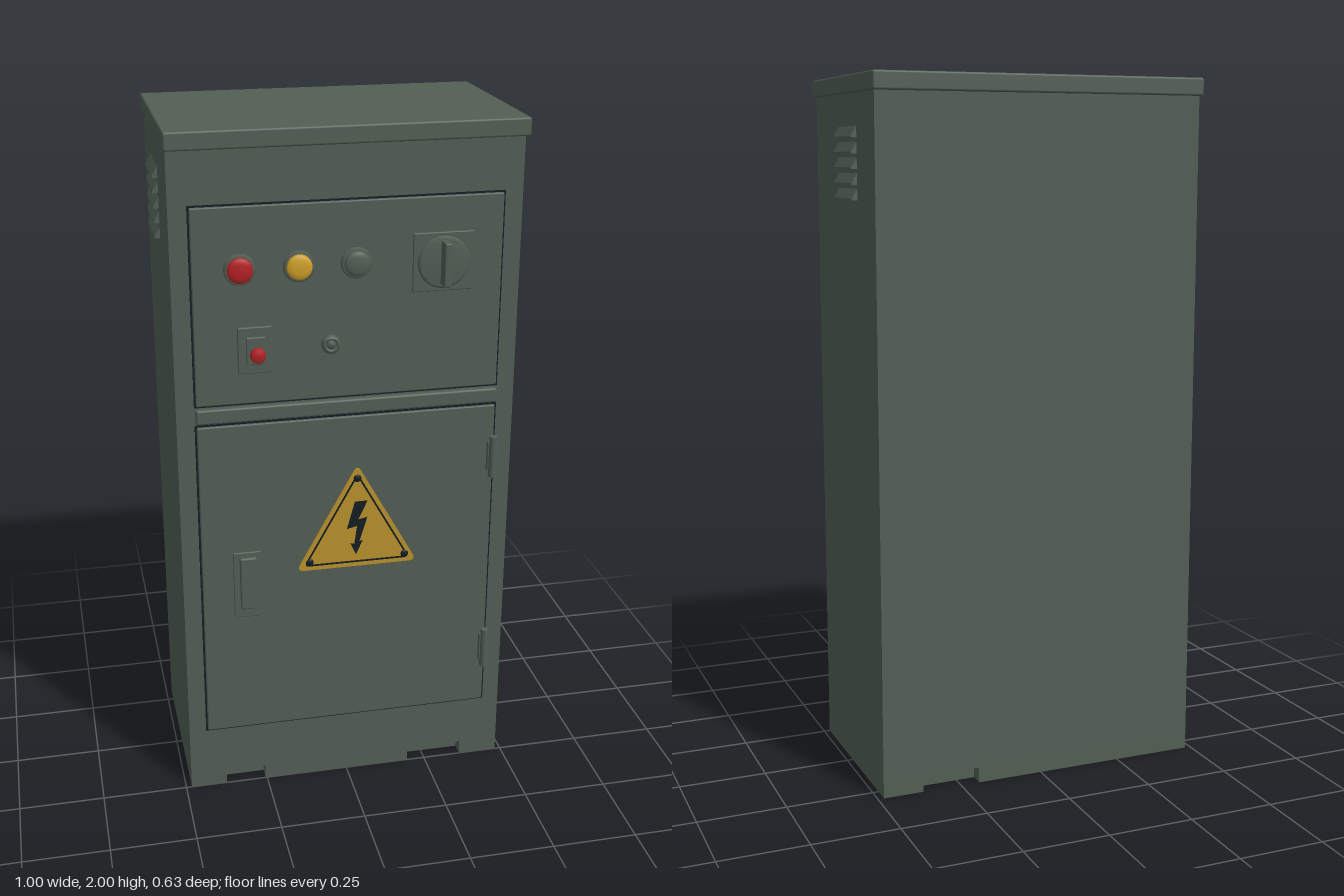
import * as THREE from 'three';
import { RoundedBoxGeometry } from 'three/addons/geometries/RoundedBoxGeometry.js';

function mat(name, color) {
  const m = new THREE.MeshStandardMaterial({ color });
  m.name = name;
  return m;
}

// Polygon from [x, y] pairs
const poly = (pts) => new THREE.Shape(pts.map(([x, y]) => new THREE.Vector2(x, y)));

// Triangle with rounded corners
function roundedTriangle(pts, t) {
  const s = new THREE.Shape();
  const v = pts.map(([x, y]) => new THREE.Vector2(x, y));
  v.forEach((p, i) => {
    const a = p.clone().lerp(v[(i + 2) % 3], t);
    const b = p.clone().lerp(v[(i + 1) % 3], t);
    if (i === 0) s.moveTo(a.x, a.y); else s.lineTo(a.x, a.y);
    s.quadraticCurveTo(p.x, p.y, b.x, b.y);
  });
  s.closePath();
  return s;
}

export function createModel() {
  const root = new THREE.Group();
  root.name = 'electricalCabinet';
  const green = mat('cabinetGreen', 0x525e54);
  const red = mat('signalRed', 0xb32024);
  const amber = mat('lampAmber', 0xd0a028);
  const yellow = mat('signYellow', 0xb8922c);
  const dark = mat('signBlack', 0x141c24);

  const add = (name, geo, m, x = 0, y = 0, z = 0, parent = root) => {
    const mesh = new THREE.Mesh(geo, m);
    mesh.name = name;
    mesh.position.set(x, y, z);
    parent.add(mesh);
    return mesh;
  };
  // Box given by its extents
  const box = (name, x0, x1, y0, y1, z0, z1, m = green, r = 0) => {
    const d = [x1 - x0, y1 - y0, z1 - z0];
    const g = r ? new RoundedBoxGeometry(...d, 2, r) : new THREE.BoxGeometry(...d);
    return add(name, g, m, (x0 + x1) / 2, (y0 + y1) / 2, (z0 + z1) / 2);
  };
  // Turned part facing the front; profile is [radius, z] from the back to the axis
  const turned = (name, profile, m, x, y, z) => {
    const g = new THREE.LatheGeometry(profile.map(([r, h]) => new THREE.Vector2(r, h)), 32);
    return add(name, g.rotateX(Math.PI / 2), m, x, y, z);
  };
  // Flat plate cut from a shape
  const plate = (name, shape, depth, m, z) =>
    add(name, new THREE.ExtrudeGeometry(shape, { depth, bevelEnabled: false, curveSegments: 8 }), m, 0, 0, z);

  // Body and overhanging lid
  box('body', -0.483, 0.483, 0.045, 1.955, -0.3, 0.25);
  box('lid', -0.49, 0.49, 1.95, 2, -0.315, 0.275, green, 0.006);

  // Plinth with notches: two in front, one at the back
  const f = 0.25, b = -0.3, d = 0.04;
  const plan = poly([
    [-0.483, -f], [-0.375, -f], [-0.375, d - f], [-0.255, d - f], [-0.255, -f],
    [0.195, -f], [0.195, d - f], [0.365, d - f], [0.365, -f], [0.483, -f],
    [0.483, -b], [0.365, -b], [0.365, -b - d], [0.195, -b - d], [0.195, -b], [-0.483, -b],
  ]);
  add('plinth', new THREE.ExtrudeGeometry(plan, { depth: 0.045, bevelEnabled: false }).rotateX(-Math.PI / 2), green);

  // Front panel, divider rail and door, each on a dark gap line
  for (const [name, y0, y1] of [['controlPanel', 1.245, 1.798], ['door', 0.202, 1.183]]) {
    box(name + 'Gap', -0.433, 0.433, y0 - 0.005, y1 + 0.005, 0.246, 0.252, dark);
    box(name, -0.428, 0.428, y0, y1, 0.245, 0.26, green, 0.004);
  }
  box('dividerRail', -0.43, 0.43, 1.193, 1.236, 0.245, 0.266, green, 0.006);

  // Side louvres: wedges that flare towards the bottom
  for (const side of [-1, 1]) {
    for (let i = 0; i < 5; i++) {
      const y = 1.83 - i * 0.042;
      const outline = side > 0
        ? [[0.48, y], [0.499, y], [0.499, y + 0.005], [0.483, y + 0.032], [0.48, y + 0.032]]
        : [[-0.48, y], [-0.48, y + 0.032], [-0.483, y + 0.032], [-0.499, y + 0.005], [-0.499, y]];
      plate('louvre', poly(outline), 0.17, green, -0.14);
    }
  }

  // Signal lamps: bezel and shallow dome
  for (const [name, x, m] of [['redLamp', -0.3, red], ['amberLamp', -0.14, amber], ['greyLamp', 0.018, green]]) {
    turned(name + 'Bezel', [[0.043, 0], [0.043, 0.008], [0.038, 0.014], [0, 0.014]], green, x, 1.628, 0.258);
    turned(name, [[0.035, 0], [0.035, 0.017], [0.032, 0.022], [0.02, 0.025], [0, 0.026]], m, x, 1.628, 0.259);
  }

  // Rotary main switch
  box('rotarySwitchPlate', 0.175, 0.345, 1.535, 1.7, 0.255, 0.266, green, 0.003);
  turned('rotaryDial', [[0.073, 0], [0.073, 0.005], [0.065, 0.012], [0, 0.012]], green, 0.26, 1.617, 0.265);
  box('rotaryHandle', 0.25, 0.27, 1.558, 1.68, 0.27, 0.315, green, 0.004);

  // Push button on a framed plate
  box('buttonPlate', -0.31, -0.216, 1.335, 1.467, 0.255, 0.268, green, 0.003);
  box('buttonHousing', -0.288, -0.234, 1.362, 1.44, 0.262, 0.275, green, 0.003);
  turned('redButton', [[0.021, 0], [0.021, 0.014], [0.017, 0.019], [0, 0.02]], red, -0.257, 1.39, 0.271);

  // Panel lock
  turned('lockRing', [[0.026, 0], [0.026, 0.012], [0.021, 0.018], [0.016, 0.018], [0.016, 0.01], [0, 0.01]],
    green, -0.053, 1.403, 0.259);
  turned('lockCore', [[0.012, 0], [0.012, 0.014], [0, 0.015]], green, -0.053, 1.403, 0.262);

  // Door handle on its mounting plate
  box('handlePlate', -0.338, -0.257, 0.58, 0.79, 0.255, 0.264, green, 0.003);
  box('handleGrip', -0.32, -0.272, 0.61, 0.775, 0.26, 0.275, green, 0.005);

  // Hinges: leaf and knuckle
  for (const y of [0.393, 1.028]) {
    box('hingeLeaf', 0.408, 0.44, y - 0.045, y + 0.045, 0.25, 0.272, green, 0.003);
    add('hingeKnuckle', new THREE.CylinderGeometry(0.012, 0.012, 0.125, 20), green, 0.424, y, 0.272);
  }

  // Warning sign with border, bolt symbol and fixing screws
  const corners = [[-0.155, 0.712], [0.205, 0.712], [0.025, 1.035]];
  const scaled = (k) => corners.map(([x, y]) => [0.025 + (x - 0.025) * k, 0.82 + (y - 0.82) * k]);
  plate('warningSign', roundedTriangle(corners, 0.07), 0.005, yellow, 0.259);
  const border = roundedTriangle(scaled(0.88), 0.06);
  border.holes.push(roundedTriangle(scaled(0.83), 0.06));
  plate('signBorder', border, 0.001, dark, 0.264);
  plate('signBolt', poly([
    [0.018, 0.92], [-0.005, 0.835], [0.025, 0.842], [0.017, 0.785], [0.005, 0.788],
    [0.022, 0.75], [0.042, 0.795], [0.032, 0.792], [0.055, 0.868], [0.028, 0.862], [0.055, 0.92],
  ].reverse()), 0.001, dark, 0.264);
  for (const [x, y] of [[0.025, 0.993], [-0.115, 0.738], [0.168, 0.738]]) {
    turned('signScrew', [[0.011, 0], [0.011, 0.003], [0.006, 0.006], [0, 0.006]], dark, x, y, 0.263);
  }

  return root;
}
